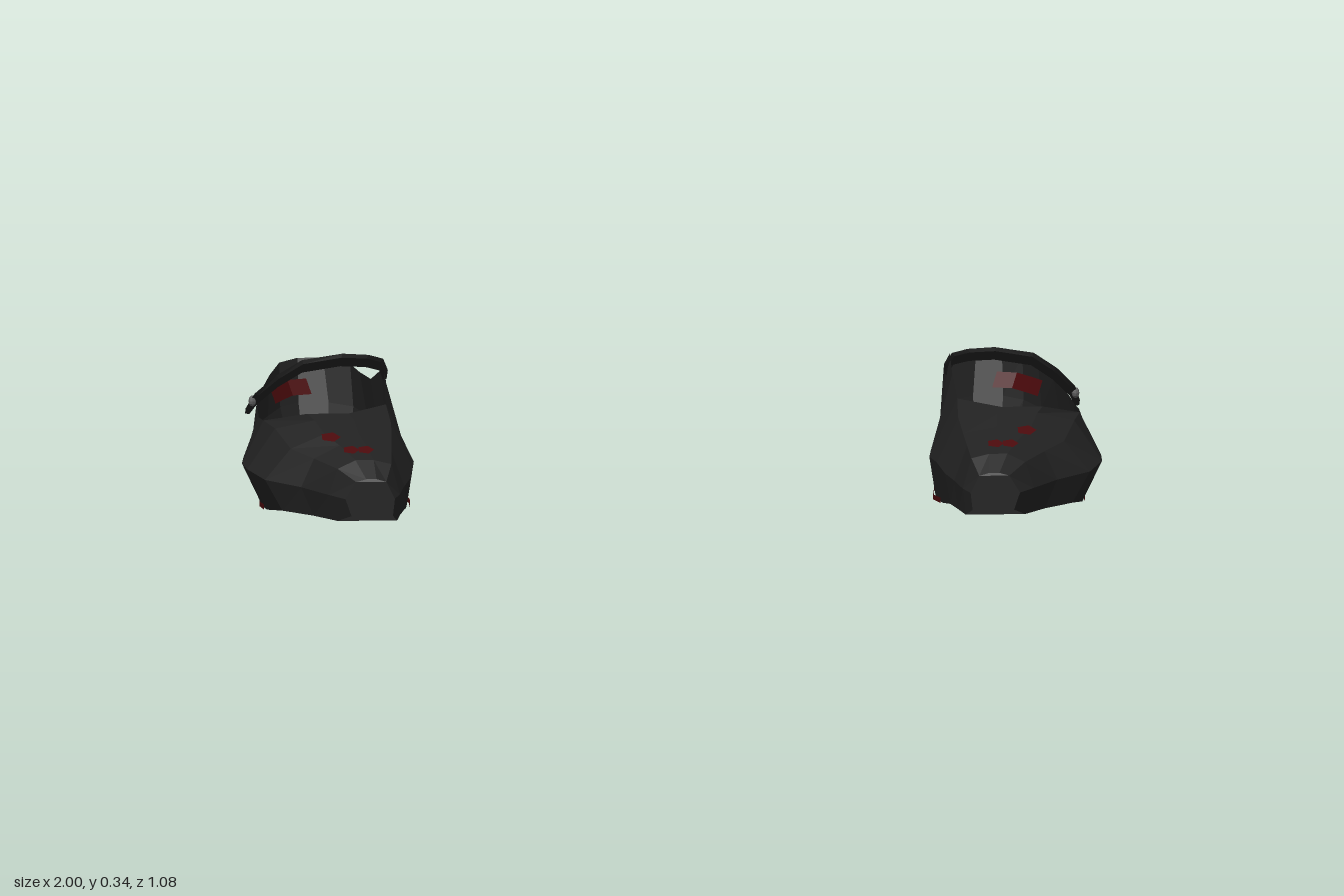
import * as THREE from 'three';

const mat = (name, color) => {
  const m = new THREE.MeshStandardMaterial({ color, side: THREE.DoubleSide, flatShading: true });
  m.name = name;
  return m;
};

// Cross-sections from heel to toe:
// z, widest x (inner, outer), rim x (inner, outer), y (bottom, inner rim, outer rim)
const SECTIONS = [
  [-.54, .75, .82, .76, .82, .05, .25, .25],
  [-.50, .695, .865, .70, .865, .045, .24, .245],
  [-.40, .67, .90, .685, .895, .045, .235, .23],
  [-.25, .655, .935, .67, .92, .05, .24, .225],
  [-.12, .645, .955, .655, .945, .045, .28, .205],
  [0, .63, .975, .66, .95, .025, .322, .20],
  [.08, .61, .99, .66, .955, .012, .285, .20],
  [.17, .60, 1, .665, .95, .004, .24, .205],
  [.27, .61, .995, .66, .93, .01, .21, .20],
  [.36, .622, .96, .665, .90, .02, .185, .165],
  [.42, .64, .88, .67, .85, .016, .165, .15],
  [.49, .655, .82, .675, .80, .013, .145, .135],
  [.535, .67, .785, .69, .76, .03, .11, .11],
];

// Wall points (rim, middle, bottom) on both sides; the heel leans back as it rises
const WALLS = SECTIONS.map(([z, xi, xo, rimI, rimO, y, yI, yO]) => {
  const zb = z + Math.max(0, -z - .2) * .22;
  const w = xo - xi, ym = (y + yO) / 2, zm = (z + zb) / 2;
  return {
    inner: [[rimI, yI, z], [xi, ym, zm], [xi + .04 * w, y, zb]],
    outer: [[rimO, yO, z], [xo, ym, zm], [xo - .12 * w, y, zb]],
  };
});

const mix = (a, b, t) => a.map((v, i) => v + (b[i] - v) * t);

// Surface through rows of [x, y, z] points
function grid(rows, side) {
  const pos = [], idx = [], n = rows[0].length;
  rows.forEach(r => r.forEach(([x, y, z]) => pos.push(x * side, y, z)));
  for (let i = 0; i < rows.length - 1; i++) {
    for (let j = 0; j < n - 1; j++) {
      const a = i * n + j, b = a + 1, c = a + n, d = c + 1;
      if (side > 0) idx.push(a, c, b, b, c, d);
      else idx.push(a, b, c, b, d, c);
    }
  }
  const g = new THREE.BufferGeometry();
  g.setAttribute('position', new THREE.Float32BufferAttribute(pos, 3));
  g.setIndex(idx);
  const flat = g.toNonIndexed();
  flat.computeVertexNormals();
  return flat;
}

// Flat slab from an outline of [x, z] points, between two heights
function slab(outline, y0, y1, side) {
  const shape = new THREE.Shape(outline.map(([x, z]) => new THREE.Vector2(x * side, z)));
  const g = new THREE.ExtrudeGeometry(shape, { depth: y1 - y0, bevelEnabled: false });
  return g.rotateX(Math.PI / 2).translate(0, y1, 0);
}

function makeShoe(side, M) {
  const shoe = new THREE.Group();
  const add = (name, geo, m) => {
    const mesh = new THREE.Mesh(geo, m);
    mesh.name = name;
    shoe.add(mesh);
    return mesh;
  };

  // Upper walls, closed at heel and toe
  add('innerWall', grid(WALLS.map(w => w.inner), side), M.leather);
  add('outerWall', grid(WALLS.map(w => w.outer), side), M.leather);
  const cap = w => w.inner.map((p, j) => [p, w.outer[j]]);
  add('heelBack', grid(cap(WALLS[0]), side), M.leather);
  add('toeFront', grid(cap(WALLS[WALLS.length - 1]), side), M.leather);

  // Vamp over the toes, with a curved edge at the opening
  const ridge = [[.28, .235], [.31, .224], [.37, .2], [.42, .18], [.49, .155], [.538, .117]];
  const vamp = ridge.map(([z, y], k) => {
    const a = WALLS[k + 7].inner[0], b = WALLS[k + 7].outer[0];
    const at = t => [a[0] + (b[0] - a[0]) * t, y, z];
    return [a, at(.33), at(.67), b];
  });
  add('vamp', grid(vamp, side), M.leather);

  // Outsole underneath, with red edging along the ball
  add('outsole', grid(WALLS.map(w => [w.inner[2], w.outer[2]]), side), M.sole);
  for (const [key, out] of [['inner', -.007], ['outer', .007]]) {
    const edge = WALLS.slice(6, 9).map(w => {
      const [x, y, z] = w[key][2];
      return [[x + out, y + .012, z], [x + out, y, z]];
    });
    add('soleEdge', grid(edge, side), M.red);
  }

  // Low heel with a grey base, following the sole outline
  const back = WALLS.slice(0, 5);
  const loop = [...back.map(w => w.outer[2]).reverse(), ...back.map(w => w.inner[2])];
  const outline = (sx, sz) => loop.map(([x, , z]) => [.79 + (x - .79) * sx, -.29 + (z + .29) * sz]);
  add('heel', slab(outline(1.03, 1), .024, .058, side), M.red);
  add('heelBase', slab(outline(.94, .9), .014, .024, side), M.sole);

  // Insole: heel pad, red step, front footbed
  const bed = (from, to, t) => grid(WALLS.slice(from, to).map(w =>
    [mix(w.inner[2], w.inner[1], t), mix(w.outer[2], w.outer[1], t)]), side);
  add('heelPad', bed(0, 5, .4), M.insole);
  add('footbed', bed(4, 10, .28), M.insole);
  const step = new THREE.BoxGeometry(.275, .02, .02);
  add('insoleStep', step, M.red).position.set(.797 * side, .074, -.112);

  // Red lining tab inside the heel
  const tab = [[.80, -.475], [.845, -.455], [.875, -.38], [.895, -.32]];
  add('liningTab', grid(tab.map(([x, z]) => [[x + .004, .21, z - .004], [x - .008, .175, z + .008]]), side), M.red);

  // Strap as a thin closed band arching over the instep
  const path = [[.652, .28, -.02], [.665, .312, .02], [.70, .324, .043], [.76, .328, .05], [.85, .311, .03],
    [.905, .27, -.015], [.95, .222, -.07], [.966, .185, -.125]];
  const strap = path.map(([x, y, z], i) => {
    const out = new THREE.Vector2(x - .8, y - .15).normalize().multiplyScalar(.005);
    const w = i === path.length - 1 ? .014 : .023;
    const corner = (u, v) => [x + out.x * u, y + out.y * u + v * w * .55, z + v * w * .85];
    return [corner(1, 1), corner(1, -1), corner(-1, -1), corner(-1, 1), corner(1, 1)];
  });
  add('strap', grid(strap, side), M.leather);

  // Strap button
  const button = add('button', new THREE.SphereGeometry(.013, 8, 6), M.button);
  button.position.set(.958 * side, .216, -.077);
  button.scale.x = .7;

  // Red toe ornaments lying on the vamp
  const spots = [[.81, .392, .193, .024], [.733, .458, .172, .02], [.767, .458, .172, .02]];
  for (const [x, z, y, r] of spots) {
    const spot = add('toeSpot', new THREE.CircleGeometry(r, 5), M.red);
    spot.position.set(x * side, y + .003, z);
    spot.rotation.x = -Math.PI / 2 + .36;
  }
  return shoe;
}

export function createModel() {
  const M = {
    leather: mat('black leather', 0x212121),
    sole: mat('grey sole', 0x484848),
    insole: mat('grey insole', 0x5c5c5c),
    red: mat('dark red', 0x4a0a0c),
    button: mat('button grey', 0x606060),
  };
  const model = new THREE.Group();
  model.name = 'shoes';
  for (const [name, side] of [['leftShoe', 1], ['rightShoe', -1]]) {
    const shoe = makeShoe(side, M);
    shoe.name = name;
    model.add(shoe);
  }
  return model;
}
